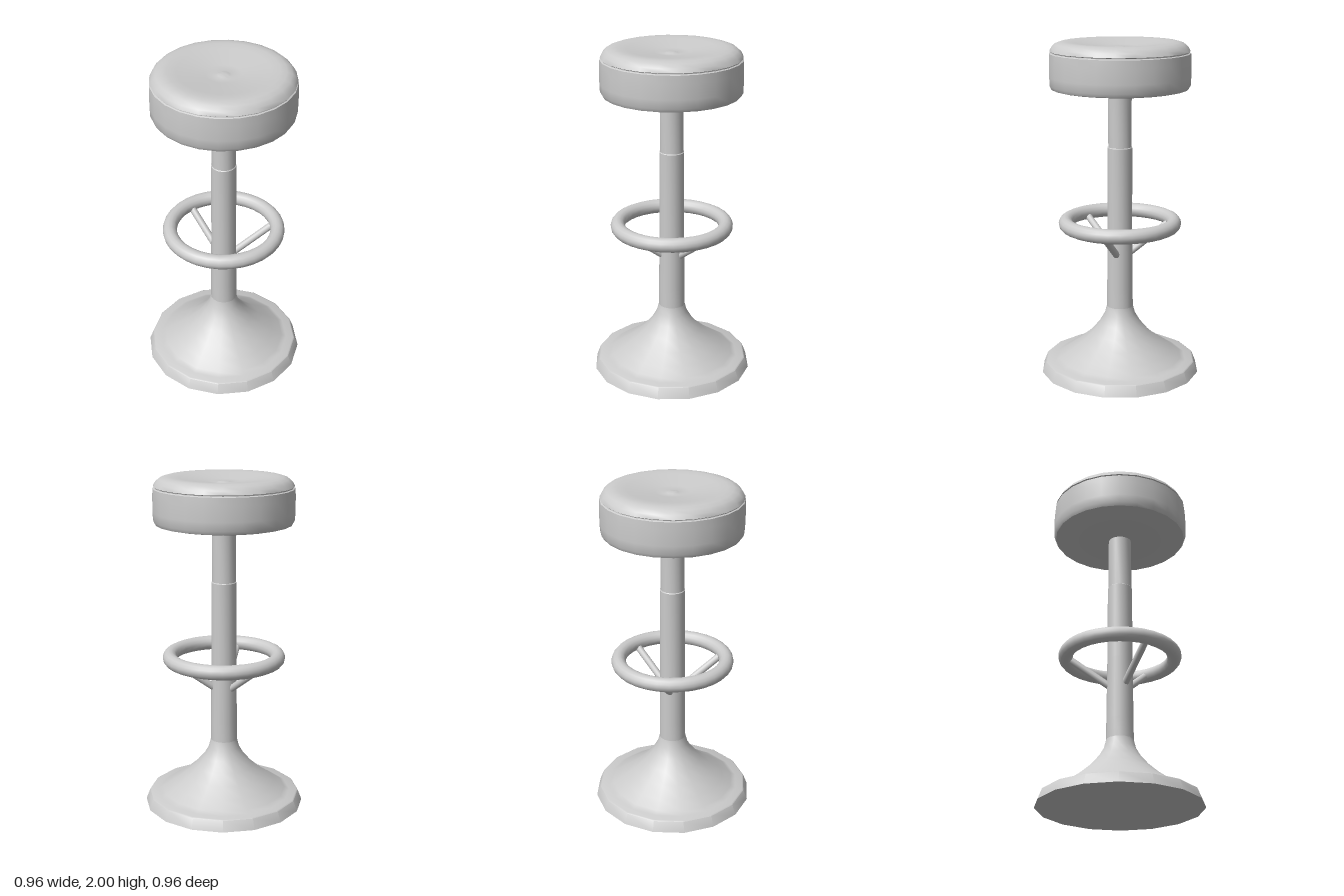
import * as THREE from 'three';
import { toCreasedNormals } from 'three/addons/utils/BufferGeometryUtils.js';

const material = new THREE.MeshStandardMaterial({ color: 0xcccccc });

// Turn a [radius, height] profile, listed from bottom to top, around the y axis.
function turned(name, profile, sides, crease = 0.7) {
  const points = profile.map(([r, y]) => new THREE.Vector2(r, y));
  const geometry = toCreasedNormals(new THREE.LatheGeometry(points, sides), crease);
  const mesh = new THREE.Mesh(geometry, material);
  mesh.name = name;
  return mesh;
}

// Round rod between two points.
function rod(name, from, to, radius) {
  const axis = new THREE.Vector3().subVectors(to, from);
  const mesh = new THREE.Mesh(new THREE.CylinderGeometry(radius, radius, axis.length(), 12), material);
  mesh.name = name;
  mesh.position.addVectors(from, to).multiplyScalar(0.5);
  mesh.quaternion.setFromUnitVectors(new THREE.Vector3(0, 1, 0), axis.normalize());
  return mesh;
}

export function createModel() {
  const stool = new THREE.Group();
  stool.name = 'barStool';

  // Foot plate with a bevelled rim, sweeping up as a trumpet into the column
  stool.add(turned('base', [
    [0, 0], [0.482, 0], [0.458, 0.062], [0.45, 0.067], [0.405, 0.067], [0.375, 0.083],
    [0.315, 0.125], [0.24, 0.178], [0.175, 0.235], [0.125, 0.295], [0.093, 0.35], [0.08, 0.4],
  ], 16));

  // Outer sleeve, then the slimmer piston that carries the seat
  stool.add(turned('columnSleeve', [
    [0.08, 0.39], [0.079, 0.52], [0.075, 0.9], [0.074, 1.38], [0.069, 1.385],
  ], 16));
  stool.add(turned('columnPiston', [[0.07, 1.37], [0.07, 1.72]], 16));

  // Cushion: rounded lower edge, piping groove, softly dished top with a button
  stool.add(turned('seat', [
    [0, 1.712], [0.2, 1.716], [0.375, 1.724], [0.4, 1.73], [0.411, 1.75], [0.413, 1.8],
    [0.413, 1.89], [0.41, 1.934], [0.402, 1.938], [0.402, 1.942], [0.408, 1.946],
    [0.396, 1.968], [0.375, 1.988], [0.345, 1.998], [0.31, 2.0], [0.26, 1.994],
    [0.18, 1.982], [0.1, 1.973], [0.045, 1.966], [0.033, 1.97], [0.015, 1.973], [0, 1.973],
  ], 24));

  // Foot ring
  const ring = new THREE.Mesh(new THREE.TorusGeometry(0.324, 0.043, 14, 32), material);
  ring.name = 'footRing';
  ring.rotation.x = Math.PI / 2;
  ring.position.y = 0.922;
  stool.add(ring);

  // Three slanted struts from the column to the ring
  for (let i = 0; i < 3; i++) {
    const angle = Math.PI / 3 + (i * Math.PI * 2) / 3;
    const at = (r, y) => new THREE.Vector3(r * Math.cos(angle), y, r * Math.sin(angle));
    stool.add(rod('ringStrut', at(0.065, 0.737), at(0.305, 0.913), 0.021));
  }

  return stool;
}
